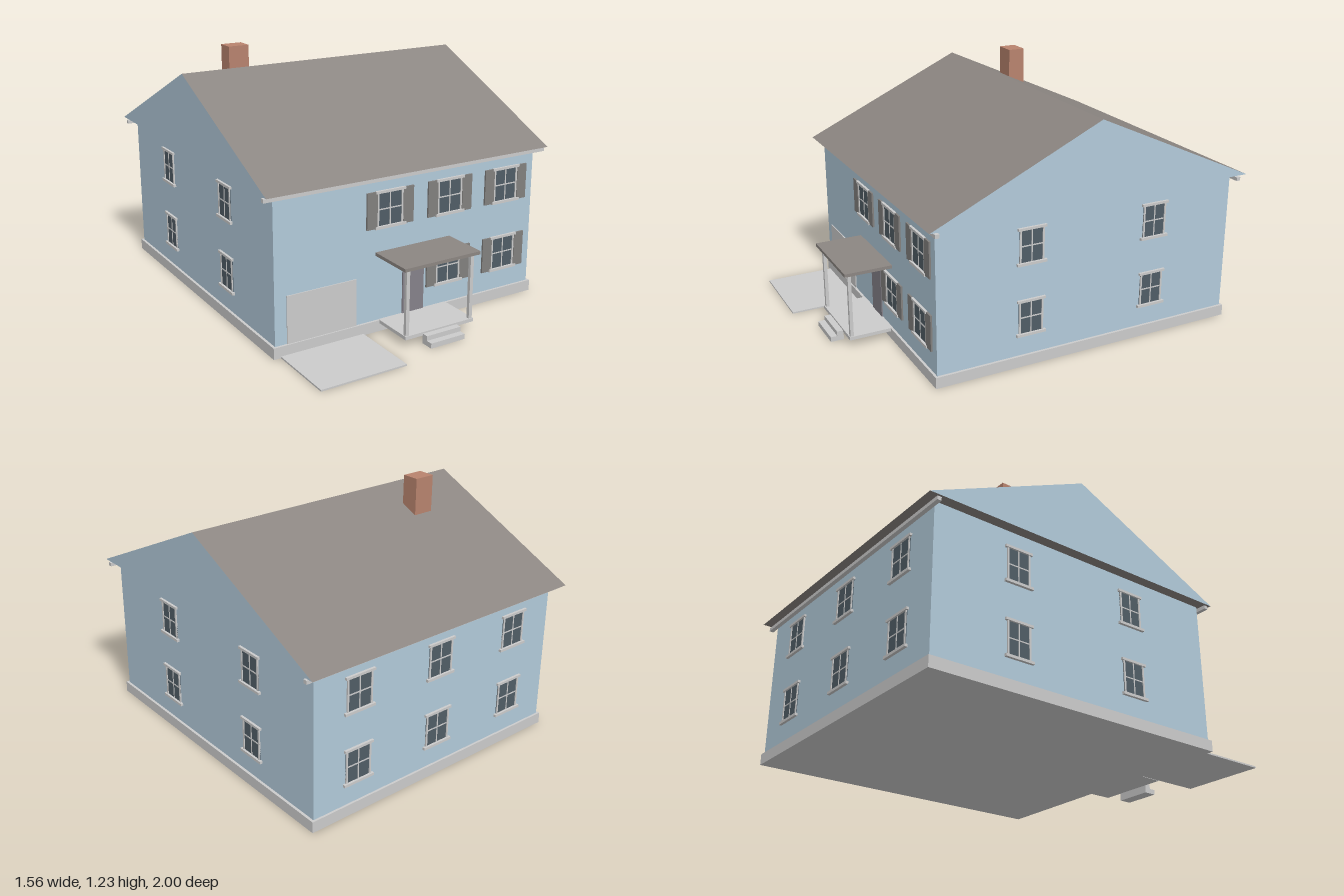
import * as THREE from 'three';

const mat = (color) => new THREE.MeshStandardMaterial({ color });

export function createModel() {
  const house = new THREE.Group();
  house.name = 'house';

  const grey = mat(0xcccccc);
  const siding = mat(0xb2cada);
  const shingle = mat(0x8c8682);
  const shutterMat = mat(0x82807e);
  const glassMat = mat(0x505d66);
  const doorMat = mat(0x85828a);
  const brick = mat(0xb8836e);

  // Box given by its extents on each axis
  function box(name, material, [x0, x1], [y0, y1], [z0, z1], parent = house) {
    const mesh = new THREE.Mesh(new THREE.BoxGeometry(x1 - x0, y1 - y0, z1 - z0), material);
    mesh.position.set((x0 + x1) / 2, (y0 + y1) / 2, (z0 + z1) / 2);
    mesh.name = name;
    parent.add(mesh);
    return mesh;
  }

  const WX = 0.727, WF = 0.638, WB = -0.942; // wall planes
  const EAVE = 0.765;

  // Foundation and walls
  box('foundation', grey, [-0.74, 0.74], [0, 0.055], [-0.953, 0.65]);
  box('walls', siding, [-WX, WX], [0.055, EAVE], [WB, WF]);

  // Gabled roof: sided gable ends, shingled slopes and soffit
  const gable = new THREE.Shape([
    new THREE.Vector2(-0.8425, EAVE),
    new THREE.Vector2(0.8425, EAVE),
    new THREE.Vector2(0, 1.15),
  ]);
  const roofGeo = new THREE.ExtrudeGeometry(gable, { depth: 1.56, bevelEnabled: false });
  roofGeo.translate(0, 0, -0.78);
  roofGeo.rotateY(Math.PI / 2);
  const roof = new THREE.Mesh(roofGeo, [siding, shingle]);
  roof.position.z = -0.1575;
  roof.name = 'roof';
  house.add(roof);

  // Gutters under both eaves
  box('frontGutter', grey, [-0.78, 0.78], [0.738, 0.756], [WF, 0.659]);
  box('backGutter', grey, [-0.78, 0.78], [0.738, 0.756], [-0.963, WB]);

  box('chimney', brick, [-0.465, -0.356], [0.98, 1.23], [-0.386, -0.298]);

  // Window built facing +z around its own centre, z = 0 on the wall
  function makeWindow(halfWidth, shutters) {
    const w = new THREE.Group();
    w.name = 'window';
    const h = 0.082, bar = 0.009;
    box('glass', glassMat, [-halfWidth, halfWidth], [-h, h], [-0.002, 0.003], w);
    for (const s of [-1, 1]) {
      const x = s * (halfWidth - bar / 2);
      box('frameSide', grey, [x - bar / 2, x + bar / 2], [-h, h], [0, 0.007], w);
      if (shutters) {
        const c = s * (halfWidth + 0.029);
        box('shutter', shutterMat, [c - 0.028, c + 0.028], [-0.088, 0.088], [0, 0.009], w);
      }
    }
    box('muntinUpright', grey, [-0.003, 0.003], [-h, h], [0, 0.005], w);
    box('muntinCross', grey, [-halfWidth, halfWidth], [-0.003, 0.003], [0, 0.005], w);
    box('header', grey, [-halfWidth - 0.01, halfWidth + 0.01], [h - 0.004, 0.09], [0, 0.012], w);
    box('sill', grey, [-halfWidth - 0.013, halfWidth + 0.013], [-0.092, -h + 0.003], [0, 0.014], w);
    return w;
  }

  function placeWindow(x, y, z, angle, halfWidth, shutters = false) {
    const w = makeWindow(halfWidth, shutters);
    w.position.set(x, y, z);
    w.rotation.y = angle;
    house.add(w);
  }

  const rows = [0.246, 0.599];
  for (const y of rows) {
    for (const x of [0.216, 0.555]) placeWindow(x, y, WF, 0, 0.071, true);
    for (const x of [-0.48, 0, 0.48]) placeWindow(x, y, WB, Math.PI, 0.071);
    for (const s of [-1, 1]) {
      for (const z of [0.165, -0.5]) placeWindow(s * WX, y, z, s * Math.PI / 2, 0.063);
    }
  }
  placeWindow(-0.124, rows[1], WF, 0, 0.071, true);

  // Garage door and driveway
  box('garageDoor', grey, [-0.667, -0.305], [0.02, 0.286], [WF - 0.01, WF + 0.005]);
  box('driveway', grey, [-0.705, -0.27], [0, 0.008], [0.64, 1]);

  // Front door with lintel
  box('frontDoor', doorMat, [-0.048, 0.073], [0.055, 0.326], [WF - 0.01, WF + 0.006]);
  box('doorLintel', grey, [-0.067, 0.092], [0.326, 0.34], [WF, WF + 0.013]);

  // Porch: raised floor, two posts, flat roof and steps
  box('porchFloor', grey, [-0.18, 0.207], [0.039, 0.056], [WF, 0.86]);
  for (const x of [-0.167, 0.193]) {
    box('porchPost', grey, [x - 0.009, x + 0.009], [0.056, 0.379], [0.838, 0.855]);
  }
  box('porchRoof', shingle, [-0.2, 0.222], [0.378, 0.394], [WF, 0.876]);
  box('upperStep', grey, [-0.083, 0.108], [0.025, 0.048], [0.858, 0.891]);
  box('lowerStep', grey, [-0.083, 0.108], [0, 0.025], [0.858, 0.924]);

  return house;
}
